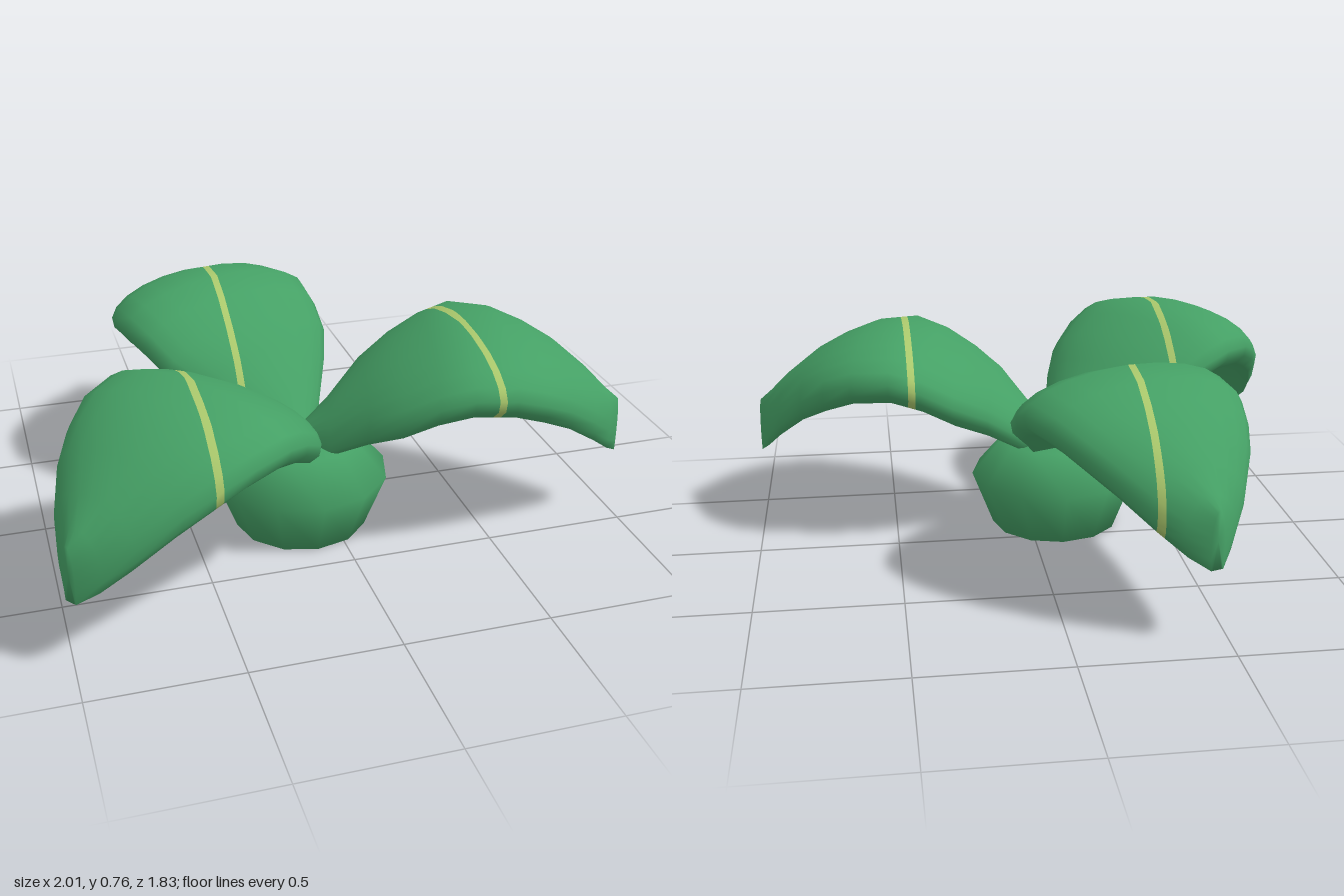
import * as THREE from 'three';

const CX = -0.1, CZ = 0.165; // plant centre
const STRIPE = 0.0125;       // half width of the pale stripe

// leaf stations: distance out, spine height, half width, depth of the rounded section
const STATIONS = [
  [0.0, 0.365, 0.045, 0.04], [0.1, 0.45, 0.15, 0.09], [0.22, 0.58, 0.255, 0.118],
  [0.33, 0.655, 0.333, 0.13], [0.44, 0.718, 0.365, 0.133], [0.55, 0.756, 0.385, 0.135],
  [0.69, 0.743, 0.362, 0.135], [0.8, 0.7, 0.317, 0.135], [0.9, 0.645, 0.26, 0.133],
  [1.01, 0.555, 0.17, 0.132], [1.08, 0.485, 0.09, 0.131], [1.125, 0.445, 0.025, 0.13],
];

// leaf cross-section: domed top with rounded rims, closed by a flat underside
function leafSection() {
  const points = [], across = 14, curl = 2 * Math.PI / 3;
  for (let j = 0; j <= across; j++) {
    const t = curl * (2 * j / across - 1);
    points.push([Math.sin(t), 1 - Math.cos(t)]);
  }
  for (const v of [0.6, 0.3, 0, -0.3, -0.6]) points.push([v, 1.5]);
  return points;
}

// thick arching leaf, lofted through the stations and capped at both ends
function leafGeometry(angle) {
  const section = leafSection(), n = section.length, last = STATIONS.length - 1;
  const pos = [], index = [];
  for (const [u, y, w, h] of STATIONS) {
    for (const [v, drop] of section) pos.push(u, y - h * drop, w * v);
  }
  for (const i of [0, last]) pos.push(STATIONS[i][0], STATIONS[i][1] - 0.75 * STATIONS[i][3], 0);
  const baseCentre = n * (last + 1), tipCentre = baseCentre + 1;
  for (let j = 0; j < n; j++) {
    const k = (j + 1) % n;
    for (let i = 0; i < last; i++) {
      const a = i * n + j, b = i * n + k, c = a + n, d = b + n;
      index.push(a, b, c, b, d, c);
    }
    index.push(baseCentre, k, j, tipCentre, last * n + j, last * n + k);
  }
  const g = new THREE.BufferGeometry();
  g.setAttribute('position', new THREE.Float32BufferAttribute(pos, 3));
  g.setIndex(index);
  g.computeVertexNormals();
  return g.rotateY(-angle).translate(CX, 0, CZ);
}

// keep the part of a polygon where sign * (x - limit) >= 0
function clip(poly, limit, sign) {
  const out = [];
  poly.forEach((a, i) => {
    const b = poly[(i + 1) % poly.length];
    const da = sign * (a.p.x - limit), db = sign * (b.p.x - limit);
    if (da >= 0) out.push(a);
    if (da >= 0 !== db >= 0) {
      const t = da / (da - db);
      out.push({ p: a.p.clone().lerp(b.p, t), n: a.n.clone().lerp(b.n, t).normalize() });
    }
  });
  return out;
}

function polygonsToGeometry(polys) {
  const pos = [], nor = [];
  for (const poly of polys) {
    for (let k = 1; k < poly.length - 1; k++) {
      for (const v of [poly[0], poly[k], poly[k + 1]]) {
        pos.push(v.p.x, v.p.y, v.p.z);
        nor.push(v.n.x, v.n.y, v.n.z);
      }
    }
  }
  const g = new THREE.BufferGeometry();
  g.setAttribute('position', new THREE.Float32BufferAttribute(pos, 3));
  g.setAttribute('normal', new THREE.Float32BufferAttribute(nor, 3));
  return g;
}

// split a leaf into its green sides and the stripe crossing it at x
function splitLeaf(geometry, x) {
  const g = geometry.toNonIndexed();
  const P = g.attributes.position, N = g.attributes.normal;
  const green = [], stripe = [];
  for (let i = 0; i < P.count; i += 3) {
    const tri = [0, 1, 2].map((k) => ({
      p: new THREE.Vector3().fromBufferAttribute(P, i + k),
      n: new THREE.Vector3().fromBufferAttribute(N, i + k),
    }));
    green.push(clip(tri, x - STRIPE, -1), clip(tri, x + STRIPE, 1));
    stripe.push(clip(clip(tri, x - STRIPE, 1), x + STRIPE, -1));
  }
  return [polygonsToGeometry(green), polygonsToGeometry(stripe)];
}

export function createModel() {
  const model = new THREE.Group();
  model.name = 'plant';
  const leafGreen = new THREE.MeshStandardMaterial({ color: 0x45a065 });
  leafGreen.name = 'leafGreen';
  const paleStripe = new THREE.MeshStandardMaterial({ color: 0xaac86c });
  paleStripe.name = 'paleStripe';

  const add = (parent, name, geometry, material) => {
    const mesh = new THREE.Mesh(geometry, material);
    mesh.name = name;
    parent.add(mesh);
  };

  // squat bulb at the base
  const profile = [[0, 0], [0.235, 0], [0.312, 0.2], [0.2, 0.33], [0, 0.355]]
    .map(([r, y]) => new THREE.Vector2(r, y));
  add(model, 'bulb', new THREE.LatheGeometry(profile, 12).translate(CX, 0, CZ), leafGreen);

  // three arching leaves
  const leaves = [['leftLeaf', 13.1, 0.44], ['rightLeaf', 142.7, -0.545], ['backLeaf', 252, -0.28]];
  for (const [name, degrees, stripeX] of leaves) {
    const leaf = new THREE.Group();
    leaf.name = name;
    const [blade, stripe] = splitLeaf(leafGeometry(THREE.MathUtils.degToRad(degrees)), stripeX);
    add(leaf, 'blade', blade, leafGreen);
    add(leaf, 'stripe', stripe, paleStripe);
    model.add(leaf);
  }
  return model;
}
